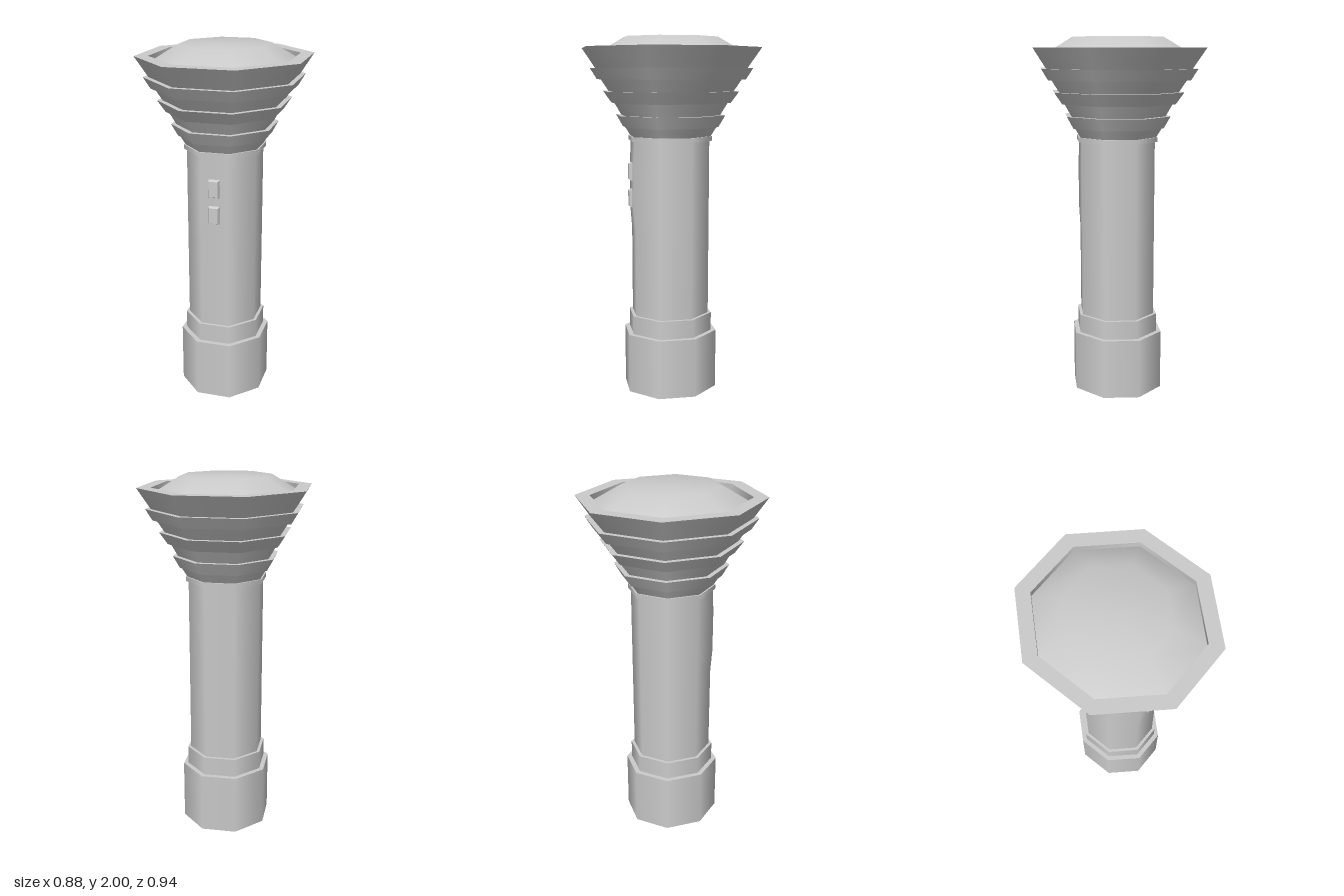
import * as THREE from 'three';
import { mergeGeometries } from 'three/addons/utils/BufferGeometryUtils.js';

const SIDES = 8;
const DEPTH = 1.068; // the octagon is slightly deeper than wide
const material = new THREE.MeshStandardMaterial({ color: 0xcccccc });

// Octagonal lathe; profile points are [half width across flats, height]
function octagon(profile) {
  const k = 1 / Math.cos(Math.PI / SIDES);
  const points = profile.map(([r, y]) => new THREE.Vector2(r * k, y));
  return new THREE.LatheGeometry(points, SIDES, Math.PI / SIDES).scale(1, 1, DEPTH);
}

// Same, with a hard edge at every profile point
function creased(profile) {
  return mergeGeometries(profile.slice(1).map((p, i) => octagon([profile[i], p])));
}

// Bevelled push button standing on the front flat
function buttonGeometry(width, height, depth, bevel) {
  const geo = new THREE.BoxGeometry(width, height, depth).toNonIndexed();
  const pos = geo.attributes.position;
  for (let i = 0; i < pos.count; i++) {
    if (pos.getZ(i) > 0) {
      pos.setX(i, pos.getX(i) - Math.sign(pos.getX(i)) * bevel);
      pos.setY(i, pos.getY(i) - Math.sign(pos.getY(i)) * bevel);
    }
  }
  geo.computeVertexNormals();
  return geo;
}

export function createModel() {
  const model = new THREE.Group();
  const add = (name, geometry) => {
    const mesh = new THREE.Mesh(geometry, material);
    mesh.name = name;
    model.add(mesh);
    return mesh;
  };

  // Tail cap with recessed underside and stepped collar
  add('tailCap', creased([
    [0, 0.04], [0.208, 0.04], [0.208, 0], [0.235, 0], [0.235, 0.34],
    [0.21, 0.34], [0.21, 0.445], [0.19, 0.445],
  ]));

  // Handle, with its front flat swelling gently under the buttons
  const handle = octagon([[0.194, 0.44], [0.194, 0.93], [0.194, 1.06], [0.194, 1.3], [0.194, 1.44]]);
  const pos = handle.attributes.position;
  for (let i = 0; i < pos.count; i++) {
    const y = pos.getY(i);
    if (pos.getZ(i) > 0.15 && y > 1) pos.setZ(i, pos.getZ(i) + (y > 1.4 ? 0.003 : 0.01));
  }
  add('handle', handle);

  // Ring between handle and head
  add('neckRing', creased([[0.19, 1.435], [0.208, 1.435], [0.208, 1.46], [0.19, 1.46]]));

  // Flared head: stepped fins, flat rim and inner wall
  add('head', creased([
    [0.2, 1.46], [0.228, 1.51], [0.237, 1.51], [0.27, 1.575], [0.245, 1.575],
    [0.28, 1.642], [0.295, 1.642], [0.335, 1.705], [0.308, 1.705],
    [0.347, 1.77], [0.366, 1.77], [0.4, 1.83], [0.373, 1.83],
    [0.44, 1.94], [0.371, 1.94], [0.371, 1.9],
  ]));

  // Domed lens
  add('lens', octagon([[0.371, 1.905], [0.23, 1.997], [0, 2]]));

  // Two buttons on the front
  for (const [name, y] of [['upperButton', 1.263], ['lowerButton', 1.113]]) {
    add(name, buttonGeometry(0.074, 0.112, 0.03, 0.013)).position.set(0, y, 0.22);
  }
  return model;
}
